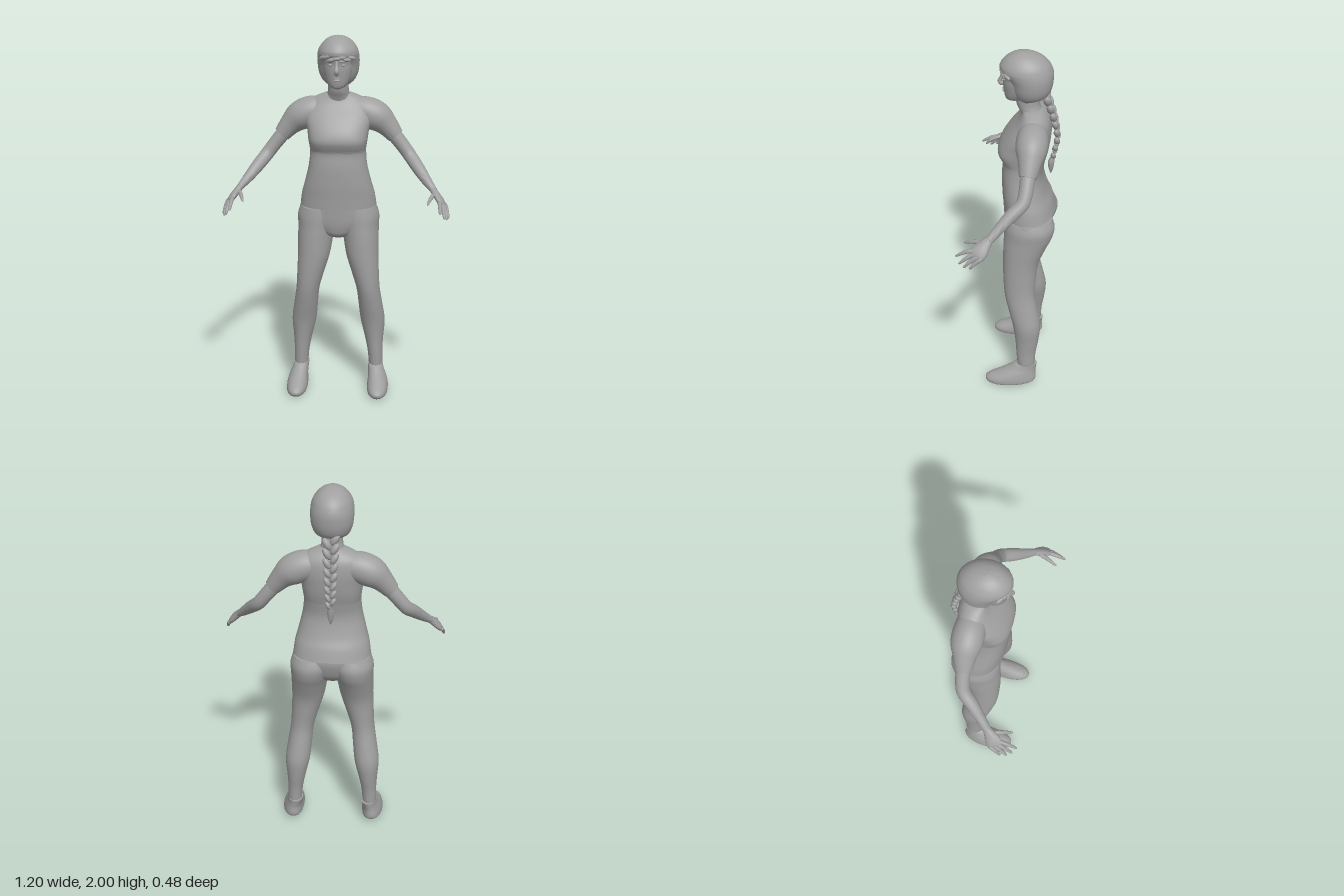
import * as THREE from 'three';
import { toCreasedNormals } from 'three/addons/utils/BufferGeometryUtils.js';

const V = (x, y, z) => new THREE.Vector3(x, y, z);

// Smoothly subdivide rows of numbers (Catmull-Rom on every column)
function refine(rows, steps) {
  const out = [];
  const at = i => rows[Math.min(Math.max(i, 0), rows.length - 1)];
  for (let i = 0; i < rows.length - 1; i++) {
    for (let s = 0; s < steps; s++) {
      const t = s / steps;
      out.push(at(i).map((b, k) => {
        const a = at(i - 1)[k], c = at(i + 1)[k], d = at(i + 2)[k];
        return b + 0.5 * t * (c - a + t * (2 * a - 5 * b + 4 * c - d + t * (3 * (b - c) + d - a)));
      }));
    }
  }
  out.push(at(rows.length - 1));
  return out;
}

// Horizontal sections, bottom to top: [y, centreX, halfWidth, zFront, zBack, squareness]
function stack(rows, steps = 4, sides = 36) {
  const full = rows.map(([y, cx, rx, zf, zb, n = 2]) => [y, cx, rx, zf, zb, n]);
  return refine(full, steps).map(([y, cx, rx, zf, zb, n]) =>
    Array.from({ length: sides }, (_, j) => {
      const a = j / sides * Math.PI * 2, c = Math.cos(a), s = Math.sin(a);
      const power = v => Math.sign(v) * Math.abs(v) ** (2 / n);
      return V(cx + rx * power(c), y, (zf + zb) / 2 + (zf - zb) / 2 * power(s));
    }));
}

// Sections along a limb: [x, y, z, radius, secondRadius]
function limb(rows, steps = 4, sides = 18) {
  const path = refine(rows.map(([x, y, z, ru, rv = ru]) => [x, y, z, ru, rv]), steps);
  const ref = V(0.7, 0.7, 0);
  return path.map(([x, y, z, ru, rv], i) => {
    const p = path[Math.max(i - 1, 0)], q = path[Math.min(i + 1, path.length - 1)];
    const dir = V(q[0] - p[0], q[1] - p[1], q[2] - p[2]).normalize();
    const u = dir.clone().cross(ref).normalize(), v = u.clone().cross(dir);
    return Array.from({ length: sides }, (_, j) => {
      const a = j / sides * Math.PI * 2;
      return V(x, y, z).addScaledVector(u, ru * Math.cos(a)).addScaledVector(v, rv * Math.sin(a));
    });
  });
}

const mirrored = rings => rings.map(r => r.map(p => V(-p.x, p.y, p.z)).reverse());

// Closed skin over the rings, with a centre point capping both ends
function skin(rings) {
  const n = rings[0].length, pts = rings.flat(), index = [];
  for (let i = 0; i < rings.length - 1; i++) {
    for (let j = 0; j < n; j++) {
      const a = i * n + j, b = i * n + (j + 1) % n;
      index.push(a, a + n, b + n, a, b + n, b);
    }
  }
  const centre = r => r.reduce((s, p) => s.add(p), V(0, 0, 0)).divideScalar(n);
  const first = pts.length, last = first + 1, top = (rings.length - 1) * n;
  const all = [...pts, centre(rings[0]), centre(rings[rings.length - 1])];
  for (let j = 0; j < n; j++) {
    const k = (j + 1) % n;
    index.push(first, j, k, last, top + k, top + j);
  }
  const g = new THREE.BufferGeometry().setFromPoints(all);
  g.setIndex(index);
  return toCreasedNormals(g, 1.0);
}

export function createModel() {
  const model = new THREE.Group();
  model.name = 'woman';
  const grey = new THREE.MeshStandardMaterial({ color: 0xa0a0a0 });
  grey.name = 'plain grey';

  const add = (name, geometry) => {
    const mesh = new THREE.Mesh(geometry, grey);
    mesh.name = name;
    model.add(mesh);
    return mesh;
  };
  const single = (name, rings) => add(name, skin(rings));
  const pair = (name, rings) => {
    add(name + 'Left', skin(rings));
    add(name + 'Right', skin(mirrored(rings)));
  };
  const blob = (name, pos, size, rot = [0, 0, 0]) => {
    const m = add(name, new THREE.SphereGeometry(1, 16, 10));
    m.position.set(...pos);
    m.scale.set(...size);
    m.rotation.set(...rot);
  };

  // Shirt body
  single('shirt', stack([
    [1.075, 0, 0.207, 0.052, -0.224, 2.2], [1.14, 0, 0.198, 0.056, -0.205, 2.2],
    [1.2, 0, 0.182, 0.06, -0.178, 2.3], [1.3, 0, 0.158, 0.062, -0.155, 2.4],
    [1.38, 0, 0.15, 0.056, -0.165, 2.6], [1.41, 0, 0.152, 0.068, -0.172, 2.8],
    [1.45, 0, 0.158, 0.082, -0.182, 2.8], [1.5, 0, 0.165, 0.068, -0.19, 2.6],
    [1.56, 0, 0.178, 0.03, -0.195, 2.4], [1.62, 0, 0.17, -0.018, -0.19, 2.3],
    [1.66, 0, 0.13, -0.04, -0.172, 2.2], [1.685, 0, 0.075, -0.045, -0.15, 2],
  ]));
  pair('sleeve', limb([
    [0.08, 1.595, -0.108, 0.07], [0.15, 1.58, -0.108, 0.082], [0.21, 1.552, -0.108, 0.08],
    [0.26, 1.508, -0.105, 0.06], [0.306, 1.453, -0.1, 0.045],
  ], 5, 28));

  // Trousers: hips between two full legs
  single('hips', stack([
    [0.905, 0, 0.05, 0.0, -0.1], [0.925, 0, 0.1, 0.025, -0.14], [0.96, 0, 0.17, 0.036, -0.18],
    [1.0, 0, 0.215, 0.042, -0.2], [1.05, 0, 0.213, 0.045, -0.215], [1.09, 0, 0.2, 0.047, -0.215],
  ]));
  pair('leg', stack([
    [0.1, 0.21, 0.036, -0.045, -0.135], [0.15, 0.21, 0.039, -0.04, -0.138],
    [0.22, 0.206, 0.042, -0.034, -0.143], [0.3, 0.2, 0.052, -0.028, -0.156],
    [0.4, 0.192, 0.067, -0.013, -0.165], [0.5, 0.18, 0.066, 0.012, -0.148],
    [0.6, 0.167, 0.064, 0.034, -0.13], [0.7, 0.15, 0.075, 0.043, -0.134],
    [0.8, 0.133, 0.088, 0.046, -0.148], [0.9, 0.124, 0.097, 0.045, -0.188],
    [0.96, 0.117, 0.104, 0.042, -0.216], [1.02, 0.11, 0.112, 0.04, -0.228],
    [1.07, 0.105, 0.1, 0.035, -0.212],
  ]));

  // Shoes, with the sole rising slightly to the heel
  const shoe = stack([
    [0.002, 0.225, 0.042, 0.115, -0.125, 2.3], [0.015, 0.226, 0.056, 0.135, -0.142, 2.3],
    [0.035, 0.225, 0.058, 0.138, -0.146, 2.2], [0.055, 0.224, 0.055, 0.115, -0.145, 2.1],
    [0.08, 0.221, 0.05, 0.065, -0.143], [0.11, 0.215, 0.044, 0.01, -0.146],
    [0.137, 0.211, 0.042, -0.026, -0.15],
  ]);
  shoe.flat().forEach(p => {
    p.y += 0.022 * Math.max(0, (0.06 - p.z) / 0.2) * (1 - p.y / 0.137);
    p.x -= 0.06 * Math.max(0, -0.04 - p.z); // inset heel
  });
  pair('shoe', shoe);

  // Bare arms and hands
  pair('arm', limb([
    [0.26, 1.508, -0.105, 0.04], [0.306, 1.45, -0.1, 0.039], [0.35, 1.395, -0.095, 0.037],
    [0.388, 1.345, -0.08, 0.036], [0.43, 1.297, -0.025, 0.034], [0.475, 1.245, 0.03, 0.027],
    [0.515, 1.203, 0.075, 0.022, 0.018],
  ]));
  pair('palm', limb([
    [0.508, 1.21, 0.068, 0.021, 0.018], [0.525, 1.19, 0.088, 0.03, 0.018],
    [0.547, 1.163, 0.112, 0.042, 0.018], [0.563, 1.142, 0.13, 0.042, 0.014],
    [0.569, 1.134, 0.137, 0.034, 0.006],
  ]));
  const fingers = [
    ['indexFinger', [0.546, 1.158, 0.148], [0.549, 1.12, 0.24]],
    ['middleFinger', [0.559, 1.146, 0.136], [0.572, 1.09, 0.222]],
    ['ringFinger', [0.569, 1.136, 0.124], [0.586, 1.078, 0.196]],
    ['littleFinger', [0.578, 1.127, 0.108], [0.594, 1.078, 0.163]],
    ['thumb', [0.515, 1.185, 0.105], [0.483, 1.16, 0.203]],
  ];
  for (const [name, a, b] of fingers) {
    const at = (t, lift, r) => [...a.map((v, k) => v + (b[k] - v) * t + (k === 1 ? lift : 0)), r];
    pair(name, limb([
      at(-0.15, 0, 0.011), at(0.3, 0.007, 0.011), at(0.65, 0.006, 0.009),
      at(0.93, 0.001, 0.006), at(1, 0, 0.001),
    ], 3, 10));
  }

  // Neck, head and face
  single('neck', stack([
    [1.63, 0, 0.085, -0.045, -0.165], [1.675, 0, 0.063, -0.028, -0.145],
    [1.71, 0, 0.055, -0.012, -0.132], [1.79, 0, 0.055, 0.0, -0.13],
  ]));
  single('head', stack([
    [1.727, 0, 0.015, 0.028, -0.01], [1.735, 0, 0.036, 0.041, -0.04], [1.752, 0, 0.054, 0.047, -0.07],
    [1.785, 0, 0.07, 0.052, -0.11], [1.83, 0, 0.08, 0.057, -0.13], [1.86, 0, 0.083, 0.057, -0.14],
    [1.89, 0, 0.085, 0.063, -0.14], [1.93, 0, 0.08, 0.05, -0.13], [1.97, 0, 0.05, 0.02, -0.1],
  ]));
  single('nose', limb([
    [0, 1.885, 0.056, 0.007], [0, 1.85, 0.064, 0.009], [0, 1.828, 0.072, 0.012],
    [0, 1.815, 0.062, 0.013], [0, 1.81, 0.055, 0.008],
  ], 3, 12));
  blob('upperLip', [0, 1.785, 0.051], [0.022, 0.005, 0.008]);
  blob('lowerLip', [0, 1.776, 0.05], [0.018, 0.006, 0.008]);
  for (const s of [-1, 1]) {
    blob('eye', [s * 0.032, 1.857, 0.046], [0.014, 0.007, 0.009]);
    blob('brow', [s * 0.034, 1.876, 0.05], [0.022, 0.006, 0.01], [0, s * 0.35, s * -0.1]);
  }

  // Hair: a cap open around the face, with a swept fringe
  single('hair', stack([
    [1.735, 0, 0.055, -0.035, -0.1], [1.76, 0, 0.085, 0.0, -0.168], [1.8, 0, 0.104, 0.016, -0.192],
    [1.85, 0, 0.111, 0.03, -0.2], [1.885, 0, 0.111, 0.055, -0.2], [1.912, 0, 0.107, 0.073, -0.193],
    [1.94, 0, 0.096, 0.064, -0.178], [1.97, 0, 0.072, 0.036, -0.145],
    [1.99, 0, 0.042, 0.0, -0.1], [2.0, 0, 0.005, -0.04, -0.05],
  ]));
  for (let i = 0; i < 7; i++) {
    const x = -0.075 + i * 0.025;
    blob('fringe', [x, 1.893 + 0.008 * Math.sin(i * 2.1), 0.062 - 6 * x * x],
      [0.027, 0.011, 0.012], [0, x * 9, 0.45 - i * 0.12]);
  }

  // Braid: crossing lobes down the back, ending in a loose tail
  const count = 16;
  for (let i = 0; i < count; i++) {
    const t = i / (count - 1), s = i % 2 ? 1 : -1, w = 1 - 0.4 * t;
    const z = -0.165 - 0.062 * Math.sin(Math.min(t * 1.25, 1) * Math.PI / 2) + 0.02 * Math.max(0, t - 0.7) / 0.3;
    blob('braidLobe', [s * 0.021 * w, 1.755 - 0.35 * t, z], [0.02 * w, 0.037 * w, 0.022 * w], [0.15, 0, s * -0.55]);
  }
  single('braidTail', stack([
    [1.29, 0, 0.002, -0.192, -0.196], [1.32, 0, 0.013, -0.182, -0.206], [1.36, 0, 0.019, -0.178, -0.212],
    [1.39, 0, 0.011, -0.19, -0.214], [1.41, 0, 0.014, -0.192, -0.218],
  ], 3, 14));

  return model;
}
